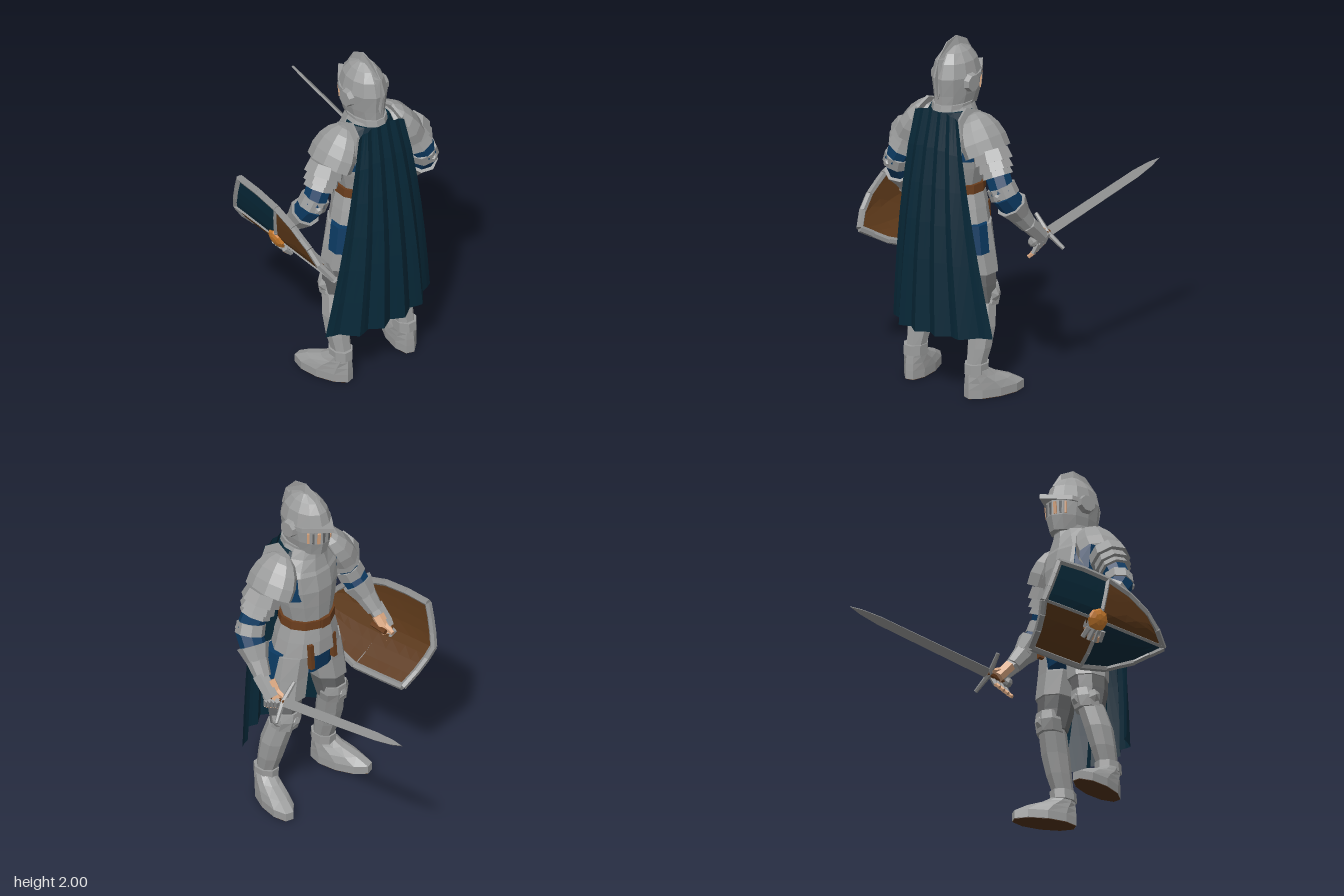
import * as THREE from 'three';

const mat = (name, color) => new THREE.MeshStandardMaterial({ name, color, flatShading: true, side: THREE.DoubleSide });
const steel = mat('steel', 0x9b9c9c), iron = mat('ironGrey', 0x8e8f8f), mail = mat('mailGrey', 0x68696a);
const navy = mat('capeNavy', 0x072838), blue = mat('clothBlue', 0x0c3a62), brown = mat('shieldBrown', 0x5c3819);
const leather = mat('leather', 0x6a3d1d), brass = mat('brass', 0xc87a2c), skin = mat('skin', 0xd9a680), sole = mat('sole', 0x4e311a);
const V = (x, y, z) => new THREE.Vector3(x, y, z);

export function createModel() {
  const root = new THREE.Group();
  root.name = 'knight';
  const add = (name, geo, m, parent = root) => {
    const mesh = new THREE.Mesh(geo, m);
    mesh.name = name;
    parent.add(mesh);
    return mesh;
  };

  // Closed loft through horizontal rings [cx, y, cz, rx, rz], bottom to top
  const loft = (rings, n = 12) => {
    const pos = [], idx = [], k = rings.length;
    for (const [cx, y, cz, rx, rz] of rings)
      for (let j = 0; j < n; j++) {
        const a = ((j + 0.5) / n) * Math.PI * 2;
        pos.push(cx + Math.cos(a) * rx, y, cz + Math.sin(a) * rz);
      }
    for (let i = 0; i < k - 1; i++)
      for (let j = 0; j < n; j++) {
        const a = i * n + j, b = i * n + (j + 1) % n;
        idx.push(a, a + n, b, b, a + n, b + n);
      }
    for (let j = 1; j < n - 1; j++) {
      const t = (k - 1) * n;
      idx.push(0, j, j + 1, t, t + j + 1, t + j);
    }
    const g = new THREE.BufferGeometry();
    g.setAttribute('position', new THREE.Float32BufferAttribute(pos, 3));
    g.setIndex(idx);
    g.computeVertexNormals();
    return g;
  };

  // Tapered bar from a to b
  const bar = (name, m, a, b, ra, rb, n = 8) => {
    const d = b.clone().sub(a);
    const mesh = add(name, new THREE.CylinderGeometry(rb, ra, d.length(), n), m);
    mesh.position.copy(a).add(b).multiplyScalar(0.5);
    mesh.quaternion.setFromUnitVectors(V(0, 1, 0), d.normalize());
    return mesh;
  };

  // Open surface from a rule f(u, v)
  const sheet = (nu, nv, f) => {
    const g = new THREE.PlaneGeometry(1, 1, nu, nv), uv = g.attributes.uv, p = g.attributes.position;
    for (let i = 0; i < p.count; i++) p.setXYZ(i, ...f(uv.getX(i), uv.getY(i)).toArray());
    g.computeVertexNormals();
    return g;
  };
  const plate = (pts, depth) => {
    const g = new THREE.ExtrudeGeometry(new THREE.Shape(pts.map(p => new THREE.Vector2(...p))), { depth, bevelEnabled: false });
    return g.translate(0, 0, -depth / 2);
  };

  // Helmet, visor, crest
  add('helmet', loft([[.425, 1.61, 0, .145, .085], [.415, 1.69, 0, .155, .103], [.42, 1.79, 0, .16, .115],
    [.42, 1.87, 0, .135, .096], [.42, 1.92, 0, .095, .062], [.42, 1.95, 0, .03, .025]]), steel);
  add('helmetRim', loft([[.45, 1.605, 0, .135, .1], [.44, 1.64, 0, .137, .1]]), steel);
  for (const [a, w, m] of [[10, .012, mail], [24, .017, skin], [38, .012, mail], [50, .012, skin]])
    for (const s of [1, -1]) {
      const t = s * a * Math.PI / 180;
      const slit = add('visorSlit', new THREE.BoxGeometry(.009, .07, w), m);
      slit.position.set(.418 - Math.cos(t) * .155, 1.73, Math.sin(t) * .11);
      slit.rotation.set(0, t, .1);
    }
  const brim = add('visorBrim', plate([[-.22, 0], [-.155, .055], [-.08, .11], [0, .122], [0, -.122], [-.08, -.11], [-.155, -.055]], .026), steel);
  brim.rotation.set(Math.PI / 2, -.1, 0);
  brim.position.set(.425, 1.775, 0);
  const crest = plate([[.29, 1.88], [.34, 1.96], [.42, 2], [.5, 1.98], [.57, 1.9], [.597, 1.8], [.575, 1.67],
    [.54, 1.68], [.55, 1.8], [.5, 1.88], [.41, 1.91], [.33, 1.87]], .05);
  const cp = crest.attributes.position;
  for (let i = 0; i < cp.count; i++)
    if (Math.hypot(cp.getX(i) - .43, cp.getY(i) - 1.79) > .155) cp.setZ(i, cp.getZ(i) * .12);
  crest.computeVertexNormals();
  add('helmetCrest', crest, steel);

  // Torso, belt and fauld
  add('gorget', loft([[.43, 1.5, 0, .135, .18], [.44, 1.57, 0, .13, .13], [.445, 1.635, 0, .125, .095]]), steel);
  add('breastplate', loft([[.415, 1.18, 0, .135, .145], [.42, 1.28, 0, .148, .17], [.422, 1.38, 0, .155, .188],
    [.425, 1.48, 0, .14, .195], [.44, 1.56, 0, .115, .14]]), steel);
  add('armholeCloth', loft([[.425, 1.33, 0, .138, .208], [.43, 1.48, 0, .125, .22]], 12), blue);
  add('belt', loft([[.415, 1.13, 0, .147, .163], [.415, 1.18, 0, .147, .16]]), leather);
  add('fauldUpper', loft([[.42, 1.05, 0, .16, .185], [.415, 1.14, 0, .142, .158]]), steel);
  add('fauldLower', loft([[.425, .96, 0, .165, .205], [.42, 1.06, 0, .153, .18]]), steel);
  add('hipCloth', loft([[.43, .83, 0, .13, .2], [.43, .97, 0, .15, .195]]), blue);
  add('buckle', new THREE.BoxGeometry(.02, .055, .06), leather).position.set(.275, 1.155, 0);
  for (const z of [-.1, .07]) {
    const strap = add('hangingStrap', new THREE.BoxGeometry(.03, .15, .026), leather);
    strap.position.set(.284, .965, z);
    strap.rotation.z = -.08;
  }

  for (const s of [1, -1]) {
    // Ear discs
    const ear = add('earDisc', new THREE.CylinderGeometry(.046, .054, .03, 8), steel);
    ear.rotation.set(s * Math.PI / 2, Math.PI / 8, 0);
    ear.position.set(.43, 1.76, s * .122);

    // Legs
    add('thigh', loft([[.41, .52, s * .18, .085, .075], [.42, .62, s * .17, .102, .088], [.42, .72, s * .155, .107, .1],
      [.43, .95, s * .11, .12, .1]], 8), mail);
    add('tasset', loft([[.415, .69, s * .158, .115, .108], [.425, .82, s * .137, .122, .112], [.43, .96, s * .115, .13, .105]], 8), steel);
    add('hipSideCloth', loft([[.46, .81, s * .16, .085, .092], [.455, .97, s * .14, .085, .09]], 8), blue);
    add('kneeGuard', loft([[.4, .5, s * .187, .078, .078], [.38, .56, s * .178, .072, .088], [.375, .61, s * .172, .065, .075]], 8), steel);
    bar('kneeCap', steel, V(.345, .555, s * .178), V(.308, .565, s * .178), .055, .02, 6);
    add('kneeWing', new THREE.ConeGeometry(.04, .02, 6).rotateX(s * Math.PI / 2), steel).position.set(.39, .56, s * .268);
    add('greave', loft([[.505, .17, s * .217, .06, .05], [.475, .28, s * .217, .073, .066], [.45, .39, s * .212, .082, .073],
      [.415, .52, s * .19, .08, .072]], 8), steel);
    add('ankleCuff', loft([[.505, .14, s * .22, .077, .063], [.502, .195, s * .22, .077, .063]], 8), steel);

    // Feet
    const foot = new THREE.Group();
    foot.name = 'foot';
    foot.position.set(.51, 0, s * .225);
    foot.rotation.y = s * .3;
    root.add(foot);
    add('sabaton', loft([[-.11, .003, 0, .183, .075], [-.11, .05, 0, .183, .076], [-.075, .09, 0, .145, .07],
      [-.03, .125, 0, .095, .062], [-.005, .16, 0, .065, .055]], 10), steel, foot);
    add('sole', loft([[-.11, 0, 0, .18, .073], [-.11, .004, 0, .18, .073]], 10), sole, foot);

    // Sloping shoulder plates and flange
    const S = V(.45, 1.5, s * .235), E = V(.475, 1.2, s * .385), W = V(.335, 1.0, s * .43), H = V(.235, .9, s * .437);
    const on = (a, b, t) => a.clone().lerp(b, t);
    const dome = add('pauldron', new THREE.SphereGeometry(1, 10, 5, 0, Math.PI * 2, 0, Math.PI * .55), steel);
    dome.scale.set(.155, .2, .1);
    dome.position.set(.45, 1.425, s * .24);
    dome.rotation.x = s * -.5;
    const flange = add('pauldronFlange', plate([[.34, 1.52], [.4, 1.6], [.5, 1.64], [.57, 1.59], [.585, 1.48], [.5, 1.45]], .015), steel);
    flange.rotation.x = s * -.28;
    flange.position.set(0, 1.55 - 1.55 * Math.cos(.28), s * (.162 + 1.55 * Math.sin(.28)));

    // Layered arm
    bar('sleeve', blue, on(S, E, .4), E, .074, .07);
    bar('upperArmPlate', steel, on(S, E, .28), on(S, E, .48), .1, .113);
    bar('middleArmPlate', steel, on(S, E, .42), on(S, E, .62), .086, .102);
    bar('lowerArmPlate', steel, on(S, E, .56), on(S, E, .72), .076, .09);
    bar('elbowGuard', steel, on(S, E, .87), on(E, W, .1), .08, .082);
    bar('elbowPoint', steel, E, V(.55, 1.19, s * .4), .06, .015, 6);
    bar('forearmSleeve', blue, E, on(E, W, .5), .074, .07);
    bar('gauntletCuff', steel, on(E, W, .36), on(E, W, .7), .09, .062);
    bar('gauntletWrist', steel, on(E, W, .65), on(W, H, .15), .063, .047);

    // Hand with bare palm
    const back = bar('gloveBack', steel, W, H, .048, .042, 6);
    back.position.z += s * .01;
    bar('palm', skin, on(W, H, .3).add(V(-.02, 0, s * -.016)), H.clone().add(V(-.02, -.012, s * -.016)), .036, .033, 6);
    for (let i = 0; i < 4; i++) {
      const k = V(H.x - .045 + i * .027, H.y + .005 - i * .012, s * .452), tip = V(k.x + .02, k.y - .055, s * .437);
      bar('finger', steel, k, tip, .017, .014, 5);
      bar('fingertip', skin, tip, V(tip.x + .012, tip.y - .022, s * .415), .013, .011, 5);
    }
    bar('thumb', skin, V(.26, .94, s * .415), V(.17, .91, s * .415), .02, .014, 5);
  }

  // Pleated cape
  add('cape', sheet(20, 6, (u, v) => {
    const d = 1 - v, i = Math.round(u * 20), t = u * 2 - 1;
    const fold = (i % 4 === 0 ? .022 : i % 4 === 2 ? -.022 : 0) * (.25 + .75 * d);
    const y = 1.61 - d * (1.258 - .018 * t) - .03 * t * t * (1 - d);
    const back = .575 + .09 * Math.pow(d, .7) + .02 * Math.sin(d * Math.PI);
    return V(back + fold - Math.pow(Math.abs(t), 3) * .15 * d, y, -t * (.155 + .205 * Math.pow(d, .9)) - .008 * d);
  }), navy);
  add('capeCollar', loft([[.46, 1.55, 0, .12, .155], [.46, 1.605, 0, .115, .12]]), navy);

  // Curved heater shield, pointing backward
  const edges = [
    [[-.035, .728], [.12, .72], [.3, .712], [.45, .727], [.58, .772], [.715, .855]],
    [[-.08, .92], [.08, .91], [.28, .895], [.44, .88], [.58, .868], [.715, .855]],
    [[-.005, 1.155], [.15, 1.15], [.31, 1.127], [.45, 1.077], [.575, 1.0], [.715, .855]],
  ];
  const bend = [[.65, .17], [.7, .235], [.76, .335], [.83, .42], [.93, .48], [1.05, .5], [1.25, .515]];
  const along = (line, u) => {
    const i = Math.min(4, Math.floor(u * 5)), f = u * 5 - i;
    return [0, 1].map(k => line[i][k] * (1 - f) + line[i + 1][k] * f);
  };
  const shieldAt = (u, v, off = 0) => {
    const m = along(edges[1], u), e = along(edges[v < 0 ? 0 : 2], u), w = Math.abs(v);
    const x = m[0] + (e[0] - m[0]) * w, y = m[1] + (e[1] - m[1]) * w;
    const i = bend.findIndex(b => b[0] > y), a = bend[i - 1], b = bend[i];
    return V(x, y, a[1] + (b[1] - a[1]) * (y - a[0]) / (b[0] - a[0]) + off);
  };
  add('shieldBack', sheet(10, 8, (u, v) => shieldAt(u, v * 2 - 1, -.01)), brown);
  for (const [u0, u1, v0, m] of [[0, .4, 0, navy], [.4, 1, 0, brown], [0, .4, -1, brown], [.4, 1, -1, navy]])
    add('shieldQuarter', sheet(6, 5, (u, v) => shieldAt(u0 + (u1 - u0) * u, v0 + v + (v0 < 0 ? -1e-6 : 0), .01)), m);
  const rim = [];
  for (let i = 0; i <= 10; i++) rim.push(shieldAt(i / 10, 1));
  for (let i = 9; i >= 0; i--) rim.push(shieldAt(i / 10, -1));
  for (let i = 1; i < 6; i++) rim.push(shieldAt(0, -1 + i / 3));
  rim.forEach((p, i) => bar('shieldRim', iron, p, rim[(i + 1) % rim.length], .02, .02, 6));
  for (let i = 0; i < 8; i++) {
    bar('shieldCrossbar', iron, shieldAt(i / 8, 0, .01), shieldAt((i + 1) / 8, 0, .01), .011, .011, 4);
    bar('shieldUpright', iron, shieldAt(.4, i / 4 - 1, .01), shieldAt(.4, (i + 1) / 4 - 1, .01), .013, .013, 4);
  }
  const boss = add('shieldBoss', new THREE.SphereGeometry(.064, 8, 3, 0, Math.PI * 2, 0, Math.PI / 2), brass);
  boss.scale.y = .45;
  boss.rotation.x = Math.PI / 2 + .35;
  boss.position.copy(shieldAt(.39, 0, .012));

  // Knuckles showing below the boss, and the grip behind
  for (let i = 0; i < 4; i++)
    bar('shieldKnuckle', steel, V(.225 + i * .03, .845, .455), V(.21 + i * .037, .8 - (i % 3 ? .008 : 0), .415), .018, .014, 5);
  bar('shieldGrip', leather, V(.2, .915, .388), V(.3, .92, .388), .015, .015, 6);

  // Sword, blade turned diagonally
  const sword = new THREE.Group();
  sword.name = 'sword';
  sword.position.set(.165, .9, -.432);
  sword.rotation.order = 'ZYX';
  sword.rotation.set(-Math.PI / 4, 0, Math.PI - .187);
  root.add(sword);
  const outline = [[0, .027], [.72, .023], [.84, .014], [.913, 0], [.84, -.014], [.72, -.023], [0, -.027]];
  add('blade', plate(outline, .012), iron, sword);
  add('grip', new THREE.CylinderGeometry(.015, .015, .12, 6).rotateZ(Math.PI / 2), leather, sword).position.x = -.05;
  add('pommel', new THREE.SphereGeometry(.03, 7, 5), iron, sword).position.x = -.12;
  for (const s of [1, -1]) {
    const arm = add('crossguard', new THREE.CylinderGeometry(.011, .016, .125, 6), iron, sword);
    arm.position.set(.006, s * .06, 0);
    arm.rotation.z = s > 0 ? -.15 : Math.PI + .15;
  }
  return root;
}
